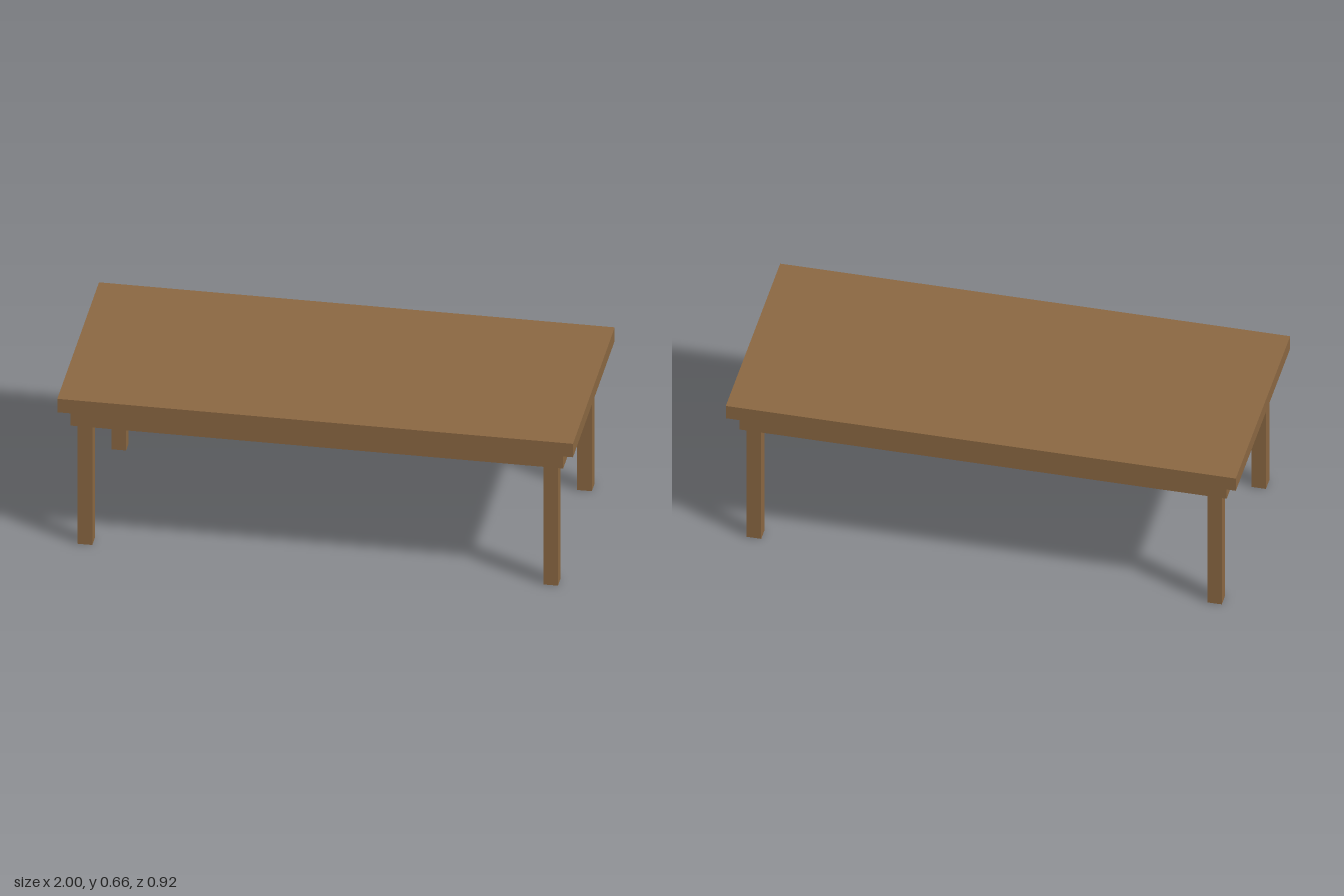
import * as THREE from 'three';

export function createModel() {
  const table = new THREE.Group();
  table.name = 'table';

  const wood = new THREE.MeshStandardMaterial({ color: 0x8b6842 });
  wood.name = 'brown wood';

  // Box standing on height y
  function addBox(name, w, h, d, x, y, z) {
    const mesh = new THREE.Mesh(new THREE.BoxGeometry(w, h, d), wood);
    mesh.name = name;
    mesh.position.set(x, y + h / 2, z);
    table.add(mesh);
  }

  const legHeight = 0.527, apronHeight = 0.076, topHeight = 0.059;

  // Top slab and the solid apron block beneath it
  addBox('tabletop', 2, topHeight, 0.915, 0, legHeight + apronHeight, 0);
  addBox('apron', 1.91, apronHeight, 0.836, 0, legHeight, 0);

  // Four square legs
  for (const [side, sx] of [['Left', 1], ['Right', -1]]) {
    for (const [end, sz] of [['front', 1], ['back', -1]]) {
      addBox(`${end}${side}Leg`, 0.057, legHeight, 0.057, sx * 0.903, 0, sz * 0.371);
    }
  }

  return table;
}
